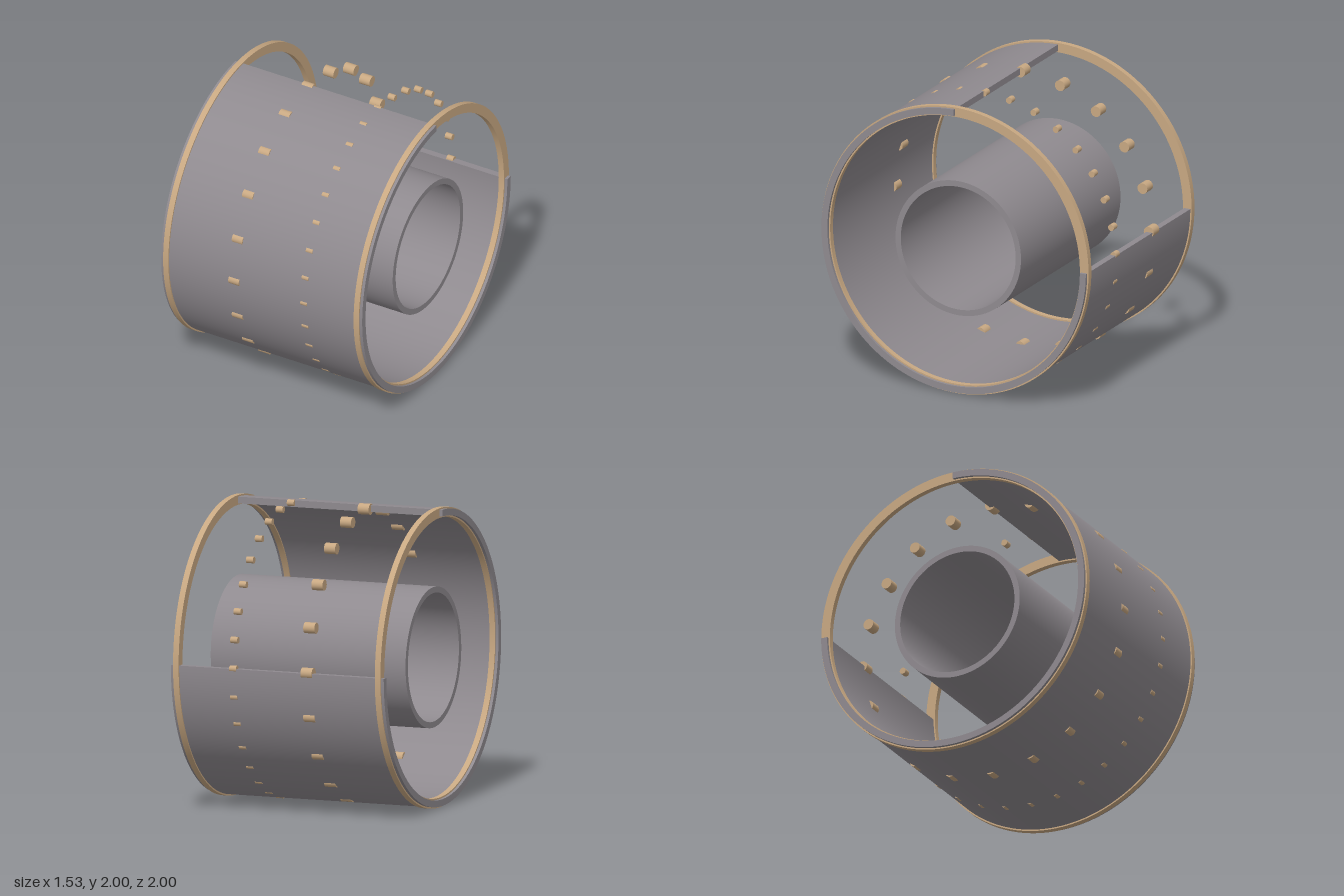
import * as THREE from 'three';
import { toCreasedNormals } from 'three/addons/utils/BufferGeometryUtils.js';

const AXIS_Y = 1; // height of the drum axis

export function createModel() {
  const model = new THREE.Group();
  model.name = 'cutawayDrum';
  const steel = new THREE.MeshStandardMaterial({ color: 0x8f8a8f });
  steel.name = 'grey steel';
  const brass = new THREE.MeshStandardMaterial({ color: 0xc8a882 });
  brass.name = 'tan brass';

  // Thick-walled tube along x, from angle start to a full turn
  // (0 points to the back, a quarter turn points up)
  function tube(name, outer, inner, x0, x1, material, start = 0) {
    const shape = new THREE.Shape();
    const end = Math.PI * 2;
    shape.absarc(0, 0, outer, start, end, false);
    if (start > 0) {
      shape.absarc(0, 0, inner, end, start, true);
      shape.closePath();
    } else {
      const hole = new THREE.Path();
      hole.absarc(0, 0, inner, 0, end, true);
      shape.holes.push(hole);
    }
    const geometry = new THREE.ExtrudeGeometry(shape, {
      depth: x1 - x0, bevelEnabled: false, curveSegments: 96,
    });
    geometry.rotateY(Math.PI / 2);
    const mesh = new THREE.Mesh(toCreasedNormals(geometry, 0.6), material);
    mesh.name = name;
    mesh.position.set(x0, AXIS_Y, 0);
    model.add(mesh);
  }

  // Outer shell with its upper back quarter cut away, and the core inside it
  tube('outerShell', 0.99, 0.945, -0.765, 0.765, steel, Math.PI / 2);
  tube('innerTube', 0.47, 0.43, -0.7, 0.7, steel);

  // Complete hoops near both ends
  for (const [name, x] of [['leftHoop', 0.725], ['rightHoop', -0.725]]) {
    tube(name, 1.0, 0.935, x - 0.02, x + 0.02, brass);
  }

  // Circles of short pins set through the shell wall, parallel to the axis
  function pinCircle(name, count, x, ringRadius, pinRadius, length) {
    const group = new THREE.Group();
    group.name = name;
    const geometry = new THREE.CylinderGeometry(pinRadius, pinRadius, length, 24);
    geometry.rotateZ(Math.PI / 2);
    for (let i = 0; i < count; i++) {
      const a = (i / count) * Math.PI * 2;
      const pin = new THREE.Mesh(geometry, brass);
      pin.name = 'pin';
      pin.position.set(x, AXIS_Y + Math.sin(a) * ringRadius, Math.cos(a) * ringRadius);
      group.add(pin);
    }
    model.add(group);
  }
  pinCircle('largePins', 20, -0.21, 0.963, 0.037, 0.08);
  pinCircle('smallPins', 32, 0.32, 0.973, 0.022, 0.05);

  return model;
}
